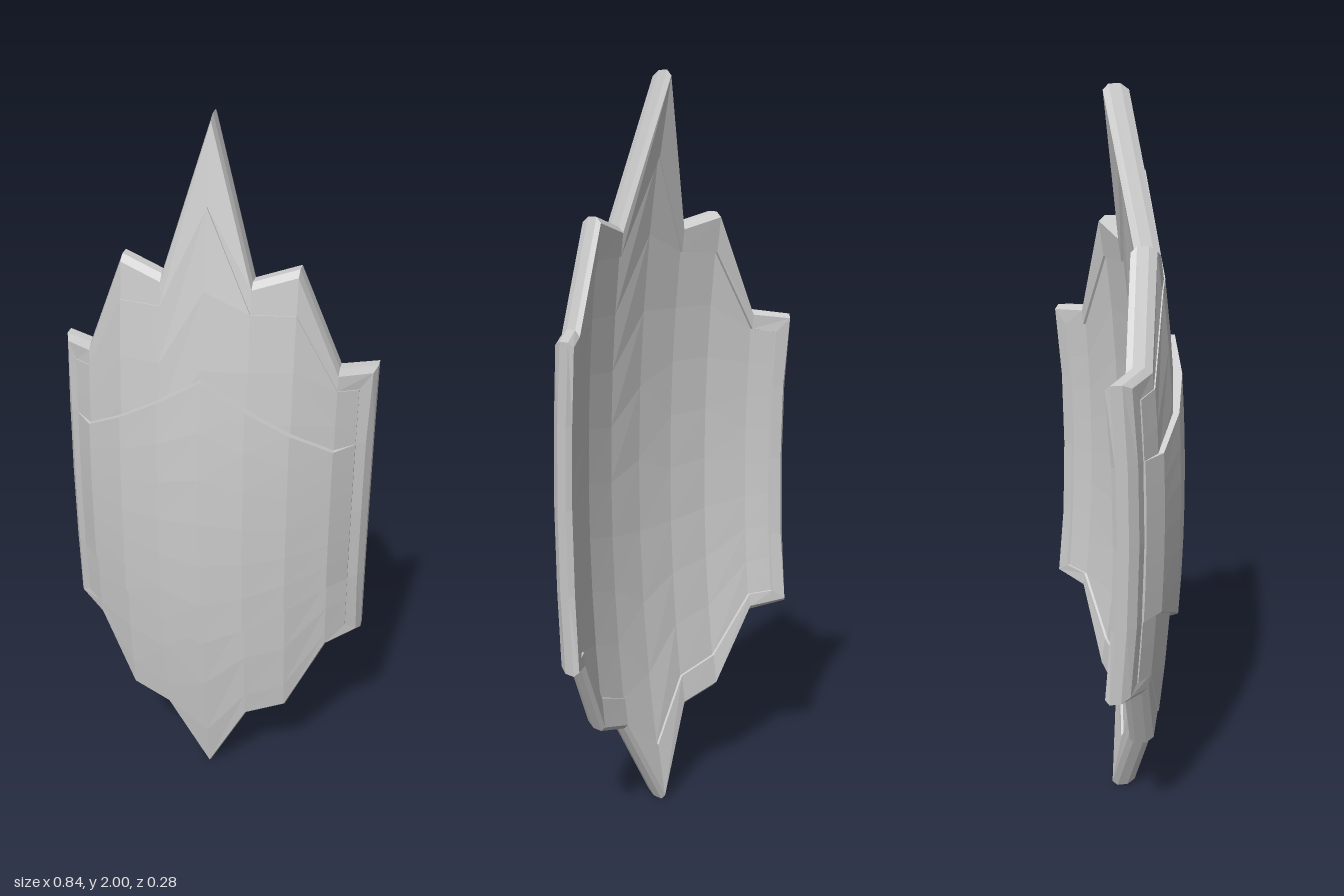
import * as THREE from 'three';

const lerp = THREE.MathUtils.lerp;

// Piecewise-linear lookup through [key, value] points
function pick(points, t) {
  for (let i = 1; i < points.length; i++) {
    const [a, va] = points[i - 1], [b, vb] = points[i];
    if (t <= b) return lerp(va, vb, Math.max(0, (t - a) / (b - a)));
  }
  return points[points.length - 1][1];
}

// Mid-surface of the curved shield: bends across x and bows along y
const bend = [[0, 0.083], [0.115, 0.074], [0.225, 0.045], [0.33, -0.017], [0.38, -0.062], [0.42, -0.09]];
const surface = (x, y) => pick(bend, Math.abs(x)) - 0.105 * (y - 0.96) ** 2;

// Right half outlines, from top tip to bottom tip, outer and inner stations matched
const outer = [[0, 2], [0.115, 1.61], [0.225, 1.64], [0.33, 1.37], [0.42, 1.355], [0.42, 1.15],
  [0.42, 0.94], [0.42, 0.72], [0.42, 0.515], [0.33, 0.49], [0.225, 0.275], [0.115, 0.24], [0, 0]];
const inner = [[0, 1.79], [0.115, 1.535], [0.225, 1.53], [0.33, 1.315], [0.38, 1.305], [0.38, 1.15],
  [0.38, 0.94], [0.38, 0.72], [0.38, 0.55], [0.33, 0.54], [0.225, 0.37], [0.115, 0.33], [0, 0.16]];

const mirrored = (half) => [...half, ...half.slice(1, -1).reverse().map(([x, y]) => [-x, y])];

// Bevelled frame swept around the outline
function rimGeometry() {
  const out = mirrored(outer), inn = mirrored(inner);
  const n = out.length, half = 0.033, edge = 0.015;
  const pos = [], index = [];
  out.forEach(([ox, oy], i) => {
    const [ix, iy] = inn[i];
    const f = 0.015 / Math.hypot(ix - ox, iy - oy);
    const cx = lerp(ox, ix, f), cy = lerp(oy, iy, f);
    const section = [[ix, iy, half], [cx, cy, half], [ox, oy, edge], [ox, oy, -edge], [cx, cy, -half], [ix, iy, -half]];
    for (const [x, y, d] of section) pos.push(x, y, surface(x, y) + d);
  });
  for (let i = 0; i < n; i++) {
    for (let k = 0; k < 6; k++) {
      const j = (i + 1) % n, m = (k + 1) % 6;
      const a = i * 6 + k, b = j * 6 + k, c = j * 6 + m, d = i * 6 + m;
      index.push(a, b, c, a, c, d);
    }
  }
  const g = new THREE.BufferGeometry();
  g.setAttribute('position', new THREE.Float32BufferAttribute(pos, 3));
  g.setIndex(index);
  g.computeVertexNormals();
  return g;
}

// Curved slab between a top and bottom line, with front and back offsets from the mid-surface
const columns = [-0.38, -0.33, -0.225, -0.115, 0, 0.115, 0.225, 0.33, 0.38];
function slabGeometry(top, bottom, rows, front, back) {
  const g = new THREE.BoxGeometry(1, 1, 1, columns.length - 1, rows, 1);
  const p = g.attributes.position;
  for (let i = 0; i < p.count; i++) {
    const x = columns[Math.round((p.getX(i) + 0.5) * (columns.length - 1))];
    const ax = Math.abs(x);
    const y = lerp(pick(bottom, ax), pick(top, ax), p.getY(i) + 0.5);
    p.setXYZ(i, x, y, surface(x, y) + (p.getZ(i) > 0 ? pick(front, ax) : back));
  }
  g.computeVertexNormals();
  return g;
}

export function createModel() {
  const group = new THREE.Group();
  group.name = 'shield';
  const material = new THREE.MeshStandardMaterial({ color: 0xcccccc, flatShading: true });
  const add = (name, geometry) => {
    const mesh = new THREE.Mesh(geometry, material);
    mesh.name = name;
    group.add(mesh);
  };

  // Pointed outer frame
  add('rim', rimGeometry());

  // Main plate filling the frame
  add('plate', slabGeometry(inner.slice(0, 5), inner.slice(8).reverse(), 8, [[0, 0.037], [0.38, 0.036]], -0.026));

  // Raised middle band with chevron ends
  add('centreBand', slabGeometry(
    [[0, 1.36], [0.33, 1.15], [0.38, 1.15]],
    [[0, 0.54], [0.33, 0.72], [0.38, 0.72]],
    6,
    [[0, 0.062], [0.115, 0.06], [0.225, 0.053], [0.33, 0.05], [0.38, 0.038]], 0));

  return group;
}
